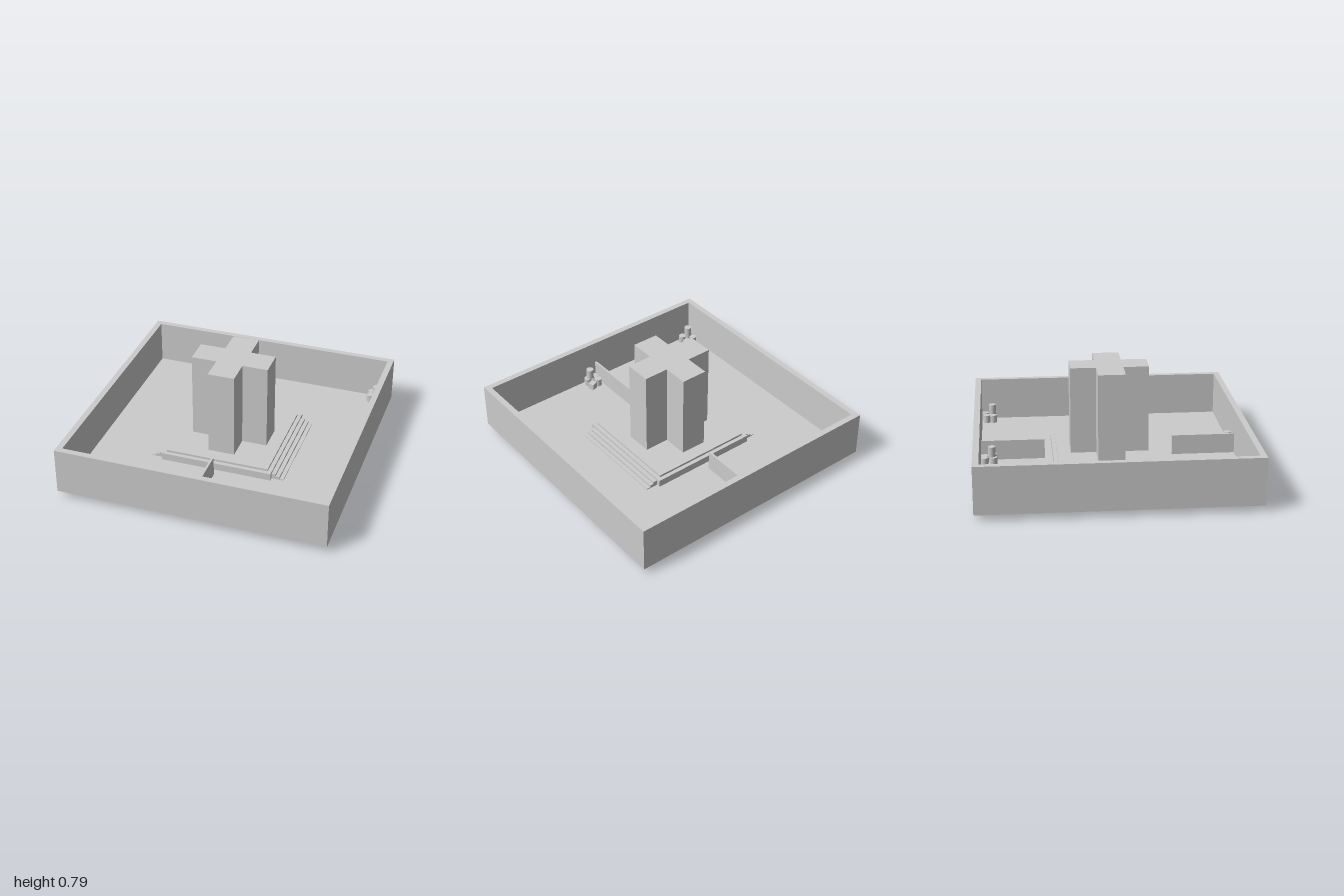
import * as THREE from 'three';

const material = new THREE.MeshStandardMaterial({ color: 0xcccccc, flatShading: true });
const smooth = new THREE.MeshStandardMaterial({ color: 0xcccccc });

export function createModel() {
  const model = new THREE.Group();
  model.name = 'walledCourtyard';

  // Box given by its size, centre in x and z, and bottom and top heights
  function block(name, w, d, bottom, top, x = 0, z = 0, parent = model) {
    const mesh = new THREE.Mesh(new THREE.BoxGeometry(w, top - bottom, d), material);
    mesh.name = name;
    mesh.position.set(x, (bottom + top) / 2, z);
    parent.add(mesh);
    return mesh;
  }

  // Upright extrusion of a plan shape
  function prism(name, shape, bottom, top) {
    const geometry = new THREE.ExtrudeGeometry(shape, { depth: top - bottom, bevelEnabled: false });
    geometry.rotateX(-Math.PI / 2);
    const mesh = new THREE.Mesh(geometry, material);
    mesh.name = name;
    mesh.position.y = bottom;
    model.add(mesh);
  }

  const square = (r, Type) =>
    new Type([[-r, -r], [r, -r], [r, r], [-r, r]].map(([x, y]) => new THREE.Vector2(x, y)));

  // Perimeter wall and floor
  const outline = square(1, THREE.Shape);
  outline.holes.push(square(0.955, THREE.Path));
  prism('perimeterWall', outline, 0.045, 0.395);
  block('floor', 1.91, 1.91, 0.045, 0.065);

  // Stepped base: steps on both sides, curb slab and top platform
  block('foundation', 1.02, 0.78, 0, 0.072);
  block('middleStep', 0.96, 0.78, 0.05, 0.088);
  block('upperStep', 0.9, 0.78, 0.05, 0.104);
  block('curbSlab', 0.84, 0.84, 0.04, 0.12);
  block('platform', 0.78, 0.78, 0.1, 0.136);

  // Cross-plan tower
  const a = 0.1, b = 0.29;
  const cross = new THREE.Shape([
    [a, -b], [a, -a], [b, -a], [b, a], [a, a], [a, b],
    [-a, b], [-a, a], [-b, a], [-b, -a], [-a, -a], [-a, -b],
  ].map(([x, y]) => new THREE.Vector2(x, y)));
  prism('tower', cross, 0.13, 0.79);

  // Divider walls running from front and back walls
  for (const side of [-1, 1]) {
    block('dividerWall', 0.016, 0.475, 0.045, 0.215, 0, side * 0.7175);
  }

  // Clusters of barrels, one stacked on the others, some with a tilted crate
  const height = 0.075;
  const barrelGeometry = new THREE.CylinderGeometry(0.028, 0.028, height, 20);
  const clusters = [
    { at: [-0.08, -0.895], low: [[-0.037, -0.033], [-0.032, 0.031], [0.037, 0.031]], high: [-0.01, 0.02], crate: [0.035, -0.035] },
    { at: [0.888, -0.895], low: [[-0.032, -0.022], [0.032, -0.033], [-0.032, 0.031], [0.032, 0.028]], high: [0.012, 0.025] },
    { at: [-0.89, 0.885], low: [[-0.03, -0.032], [-0.03, 0.032], [0.03, 0.032]], high: [-0.014, 0.015], crate: [0.03, -0.032] },
    { at: [0.078, 0.885], low: [[-0.03, -0.022], [-0.03, 0.032], [0.03, 0.032]], high: [0.008, 0.032], crate: [0.032, -0.032] },
  ];
  for (const { at, low, high, crate } of clusters) {
    const group = new THREE.Group();
    group.name = 'barrelCluster';
    group.position.set(at[0], 0.05, at[1]);
    const barrel = (x, z, tier) => {
      const mesh = new THREE.Mesh(barrelGeometry, smooth);
      mesh.name = 'barrel';
      mesh.position.set(x, height * (tier + 0.5), z);
      group.add(mesh);
    };
    low.forEach(([x, z]) => barrel(x, z, 0));
    barrel(high[0], high[1], 1);
    if (crate) block('crate', 0.05, 0.05, 0, 0.065, crate[0], crate[1], group).rotation.y = 0.35;
    model.add(group);
  }

  return model;
}
